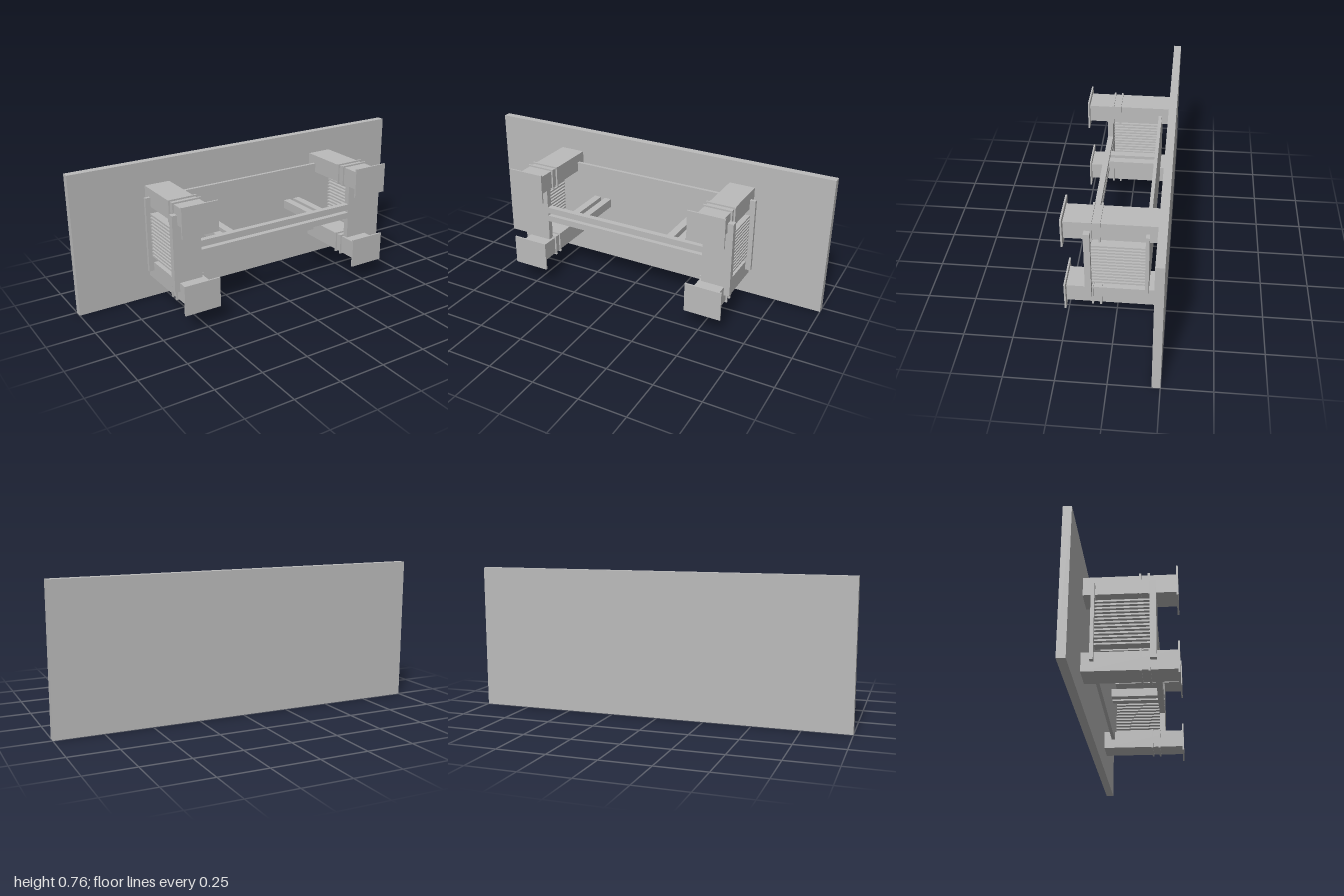
import * as THREE from 'three';

export function createModel() {
  const model = new THREE.Group();
  model.name = 'tableOnItsSide';
  const grey = new THREE.MeshStandardMaterial({ color: 0xbbbbbb });
  grey.name = 'plainGrey';

  // Box given by its extents along each axis
  const box = (name, [x0, x1], [y0, y1], [z0, z1], parent = model) => {
    const mesh = new THREE.Mesh(new THREE.BoxGeometry(x1 - x0, y1 - y0, z1 - z0), grey);
    mesh.position.set((x0 + x1) / 2, (y0 + y1) / 2, (z0 + z1) / 2);
    mesh.name = name;
    parent.add(mesh);
    return mesh;
  };
  const around = (c, half) => [c - half, c + half];

  // Table top, standing on its long edge
  box('tableTop', [-1, 1], [0, 0.76], [-0.251, -0.209]);

  // Four legs, each with two collars and a square foot plate
  for (const x of [-0.526, 0.518]) {
    for (const y of [0.177, 0.585]) {
      const leg = new THREE.Group();
      leg.name = 'leg';
      box('legPost', around(x, 0.07), around(y, 0.049), [-0.209, 0.246], leg);
      for (const z of [0.071, 0.1125]) {
        box('legCollar', around(x, 0.079), around(y, 0.0575), around(z, 0.005), leg);
      }
      box('footPlate', around(x, 0.1), around(y - 0.001, 0.08), [0.245, 0.254], leg);
      model.add(leg);
    }
  }

  // Apron board under the top
  box('apronBoard', [-0.624, 0.619], [0.178, 0.587], [-0.166, -0.148]);

  // Lower stretcher: an H-shaped board with a long slot in the crossbar
  const outline = new THREE.Shape([
    [-0.624, 0.178], [-0.469, 0.178], [-0.469, 0.342], [0.461, 0.342],
    [0.461, 0.178], [0.619, 0.178], [0.619, 0.587], [0.461, 0.587],
    [0.461, 0.425], [-0.469, 0.425], [-0.469, 0.587], [-0.624, 0.587],
  ].map(([x, y]) => new THREE.Vector2(x, y)));
  outline.holes.push(new THREE.Path([
    [-0.469, 0.376], [-0.469, 0.391], [0.461, 0.391], [0.461, 0.376],
  ].map(([x, y]) => new THREE.Vector2(x, y))));
  const stretcher = new THREE.Mesh(
    new THREE.ExtrudeGeometry(outline, { depth: 0.031, bevelEnabled: false }), grey);
  stretcher.position.z = 0.116;
  stretcher.name = 'lowerStretcher';
  model.add(stretcher);

  // Rows of slats at both ends
  for (const [x0, x1] of [[-0.603, -0.551], [0.543, 0.594]]) {
    for (let i = 0; i < 13; i++) {
      box('endSlat', [x0, x1], around(0.266 + i * 0.0192, 0.0047), [-0.148, 0.116]);
    }
  }

  // Two pairs of centre struts
  for (const x of [-0.325, -0.26, 0.252, 0.315]) {
    box('centreStrut', around(x, 0.02), [0.358, 0.405], [-0.148, 0.116]);
  }

  return model;
}
